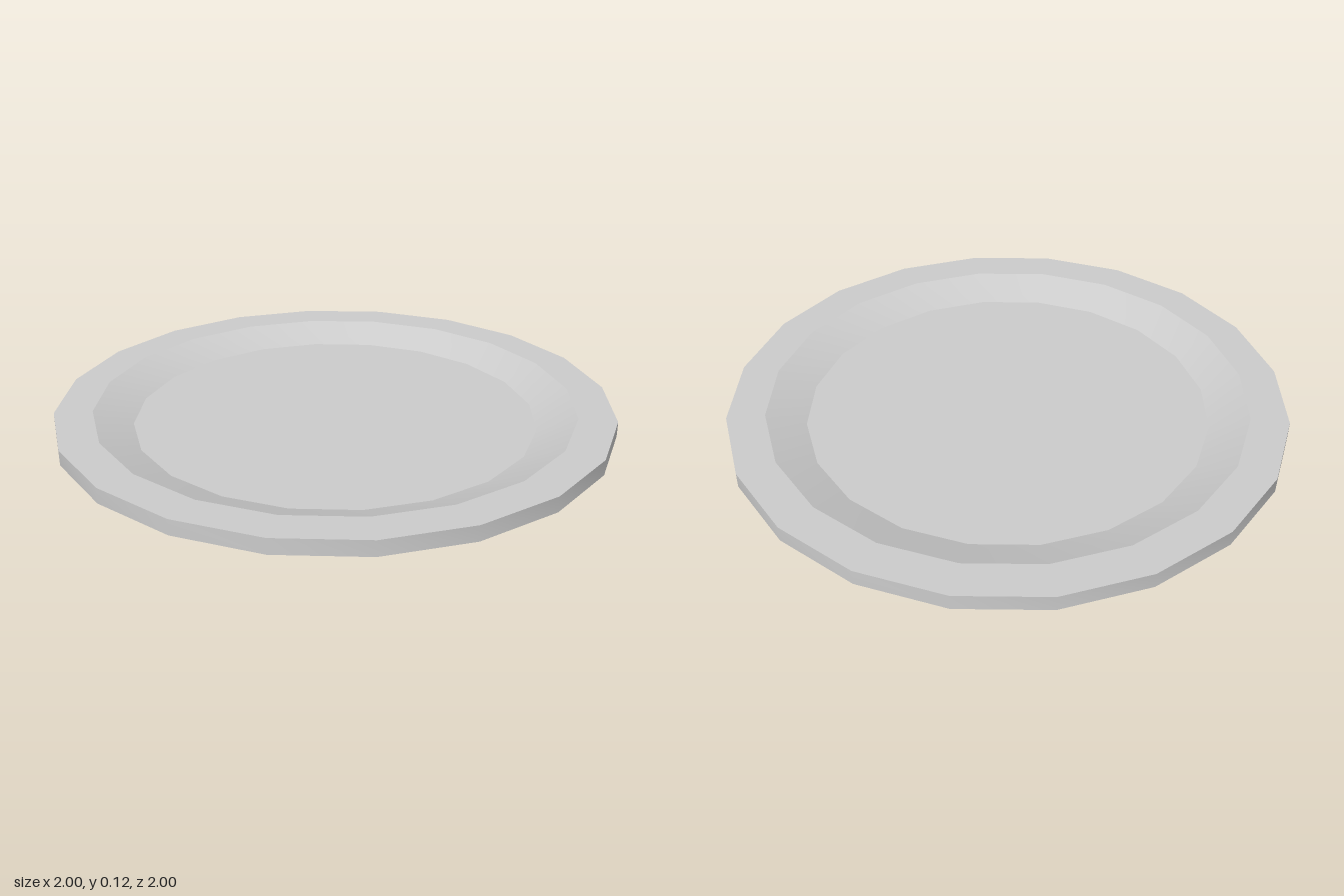
import * as THREE from 'three';
import { toCreasedNormals } from 'three/addons/utils/BufferGeometryUtils.js';

const SIDES = 20;

// Closed cross-section: radius, height, from the underside centre round to the floor centre
const PROFILE = [
  [0, 0],          // underside centre
  [0.65, 0],       // foot edge
  [0.77, 0.065],   // outer slope meets the rim
  [1, 0.065],      // rim lower edge
  [1, 0.12],       // rim upper edge
  [0.865, 0.12],   // rim inner edge
  [0.725, 0.065],  // inner slope meets the floor
  [0, 0.065],      // floor centre
];

export function createModel() {
  const model = new THREE.Group();
  model.name = 'dinnerPlate';

  // Smooth around the plate, sharp at each profile corner
  const lathe = new THREE.LatheGeometry(PROFILE.map(([r, y]) => new THREE.Vector2(r, y)), SIDES);
  const geometry = toCreasedNormals(lathe, THREE.MathUtils.degToRad(20));

  const plate = new THREE.Mesh(geometry, new THREE.MeshStandardMaterial({ color: 0xcccccc }));
  plate.name = 'plate';
  model.add(plate);
  return model;
}
